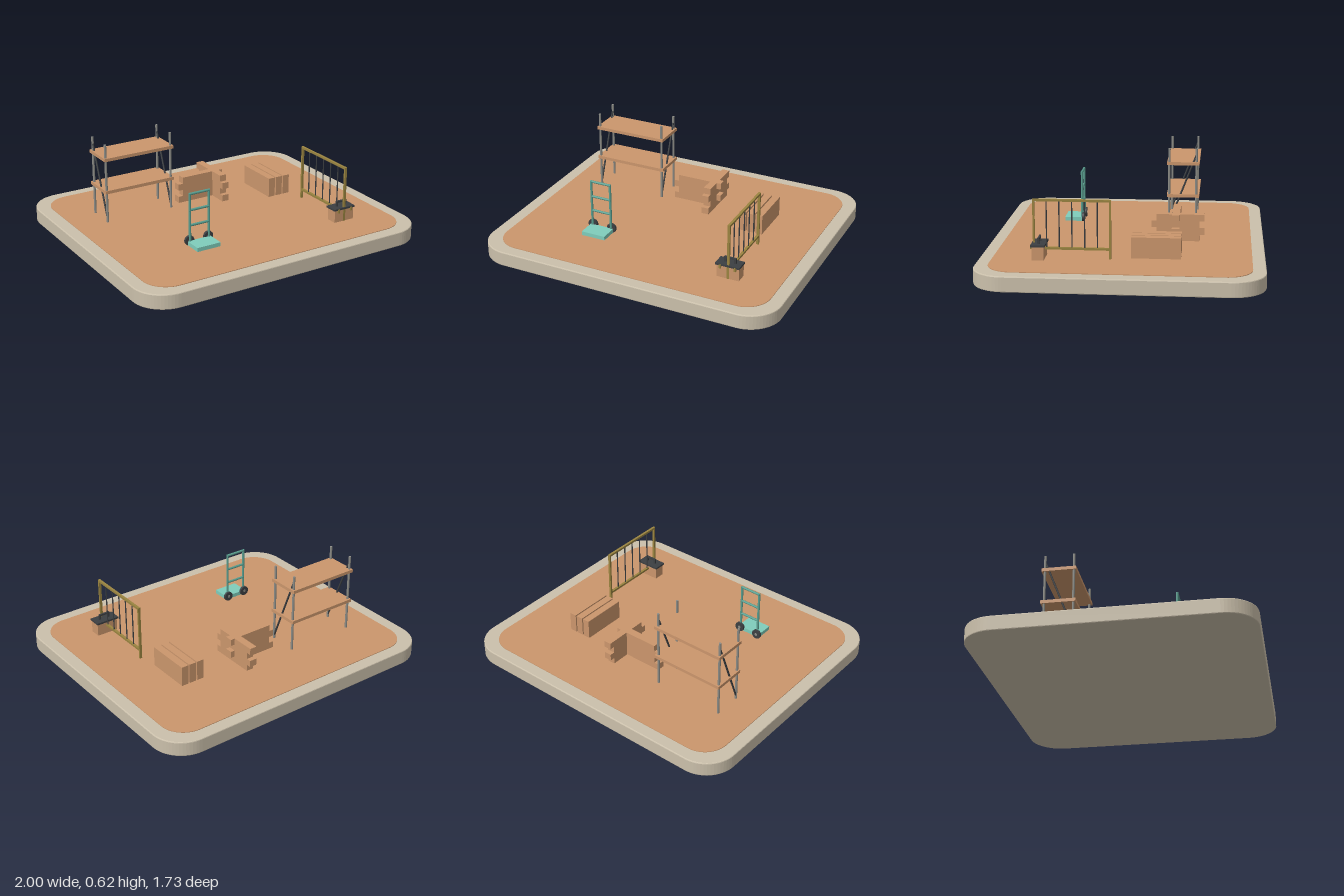
import * as THREE from 'three';

const mat = (name, color) => {
  const m = new THREE.MeshStandardMaterial({ color });
  m.name = name;
  return m;
};

export function createModel() {
  const stone = mat('stone', 0xcbc0ab);
  const clay = mat('clay', 0xcb966c);
  const teal = mat('teal', 0x7fcdbb);
  const darkTeal = mat('darkTeal', 0x5a9f90);
  const dark = mat('darkMetal', 0x3c3f42);
  const steel = mat('steel', 0x8c8c86);
  const brass = mat('brass', 0x9a8440);
  const model = new THREE.Group();
  model.name = 'buildingYard';

  const part = (name) => {
    const g = new THREE.Group();
    g.name = name;
    model.add(g);
    return g;
  };
  const add = (parent, name, geo, material) => {
    const m = new THREE.Mesh(geo, material);
    m.name = name;
    parent.add(m);
    return m;
  };
  // Box given by its lower and upper limits on each axis
  const box = (parent, name, material, x0, x1, y0, y1, z0, z1) =>
    add(parent, name, new THREE.BoxGeometry(x1 - x0, y1 - y0, z1 - z0), material)
      .position.set((x0 + x1) / 2, (y0 + y1) / 2, (z0 + z1) / 2);
  // Round bar between two points
  const bar = (parent, name, material, a, b, r, sides = 10) => {
    const p = new THREE.Vector3(...a), q = new THREE.Vector3(...b);
    const m = add(parent, name, new THREE.CylinderGeometry(r, r, p.distanceTo(q), sides), material);
    m.position.copy(p).lerp(q, 0.5);
    m.quaternion.setFromUnitVectors(new THREE.Vector3(0, 1, 0), q.sub(p).normalize());
  };
  // Horizontal slab with rounded corners
  const slab = (parent, name, material, hx, hz, r, y0, y1, bevel) => {
    const x = hx - bevel, z = hz - bevel;
    const s = new THREE.Shape();
    s.moveTo(-x + r, -z);
    s.lineTo(x - r, -z).absarc(x - r, -z + r, r, -Math.PI / 2, 0, false);
    s.lineTo(x, z - r).absarc(x - r, z - r, r, 0, Math.PI / 2, false);
    s.lineTo(-x + r, z).absarc(-x + r, z - r, r, Math.PI / 2, Math.PI, false);
    s.lineTo(-x, -z + r).absarc(-x + r, -z + r, r, Math.PI, Math.PI * 1.5, false);
    const geo = new THREE.ExtrudeGeometry(s, {
      depth: y1 - y0 - 2 * bevel, curveSegments: 8, bevelEnabled: bevel > 0,
      bevelThickness: bevel, bevelSize: bevel, bevelSegments: 2,
    });
    geo.rotateX(-Math.PI / 2);
    add(parent, name, geo, material).position.y = y0 + bevel;
  };

  // Ground plate with its inset floor
  const base = part('base');
  slab(base, 'plinth', stone, 1, 0.865, 0.2, 0, 0.096, 0.006);
  slab(base, 'floor', clay, 0.915, 0.785, 0.16, 0.09, 0.1, 0);

  // Scaffold: four posts, two decks, a diagonal brace at each end
  const scaffold = part('scaffold');
  for (const x of [-0.702, -0.236]) {
    for (const z of [-0.243, -0.423]) {
      bar(scaffold, 'post', steel, [x, 0.1, z], [x, 0.625, z], 0.008);
    }
    bar(scaffold, 'brace', dark, [x, 0.12, -0.243], [x, 0.58, -0.42], 0.006);
  }
  for (const y of [0.297, 0.515]) {
    box(scaffold, 'deck', clay, -0.716, -0.22, y, y + 0.021, -0.443, -0.228);
  }

  // Two crossing walls whose courses step in and out
  const walls = part('crossedWalls');
  for (let i = 0; i < 4; i++) {
    const y0 = 0.1 + i * 0.0435, y1 = y0 + 0.0435, shift = (i % 2) * 0.032;
    box(walls, 'courseAcross', clay, -0.155 + shift, 0.153 + shift, y0, y1, -0.33, -0.28);
    box(walls, 'courseAlong', clay, 0.106, 0.155, y0, y1, -0.455 - shift, -0.15 - shift);
  }

  // Three upright slabs
  const stack = part('slabStack');
  for (let i = 0; i < 3; i++) {
    const x = 0.415 + i * 0.057;
    box(stack, 'slab', clay, x, x + 0.048, 0.1, 0.231, -0.355, -0.053);
  }

  // Hand truck
  const truck = part('handTruck');
  for (const x of [-0.437, -0.302]) {
    bar(truck, 'rail', darkTeal, [x, 0.105, 0.35], [x, 0.445, 0.35], 0.008);
    bar(truck, 'wheel', dark, [x, 0.132, 0.333], [x, 0.132, 0.349], 0.032, 20);
    bar(truck, 'hub', steel, [x, 0.132, 0.331], [x, 0.132, 0.351], 0.01);
  }
  for (const y of [0.235, 0.335, 0.44]) {
    bar(truck, 'rung', darkTeal, [-0.441, y, 0.35], [-0.298, y, 0.35], 0.008);
  }
  box(truck, 'toePlate', teal, -0.452, -0.288, 0.105, 0.131, 0.346, 0.465);

  // Barrier with thin bars
  const barrier = part('barrier');
  const z0 = 0.07, z1 = 0.533;
  for (const z of [z0, z1]) {
    box(barrier, 'post', brass, 0.592, 0.608, 0.1, 0.465, z - 0.006, z + 0.006);
  }
  for (const y of [0.16, 0.458]) {
    box(barrier, 'rail', brass, 0.592, 0.608, y - 0.007, y + 0.007, z0, z1);
  }
  for (let i = 1; i < 6; i++) {
    const z = z0 + (z1 - z0) * i / 6;
    bar(barrier, 'bar', dark, [0.6, 0.16, z], [0.6, 0.455, z], 0.004, 8);
  }

  // Toolbox with lid, handle and clasps
  const toolbox = part('toolbox');
  box(toolbox, 'body', clay, 0.526, 0.672, 0.101, 0.184, 0.465, 0.538);
  box(toolbox, 'lid', dark, 0.517, 0.676, 0.183, 0.195, 0.458, 0.545);
  for (const x of [0.566, 0.632]) {
    box(toolbox, 'handleLeg', dark, x - 0.006, x + 0.006, 0.195, 0.225, 0.495, 0.507);
  }
  box(toolbox, 'handleGrip', dark, 0.56, 0.638, 0.219, 0.231, 0.495, 0.507);
  for (const x of [0.55, 0.648]) {
    box(toolbox, 'clasp', brass, x - 0.006, x + 0.006, 0.165, 0.19, 0.538, 0.549);
  }

  return model;
}
